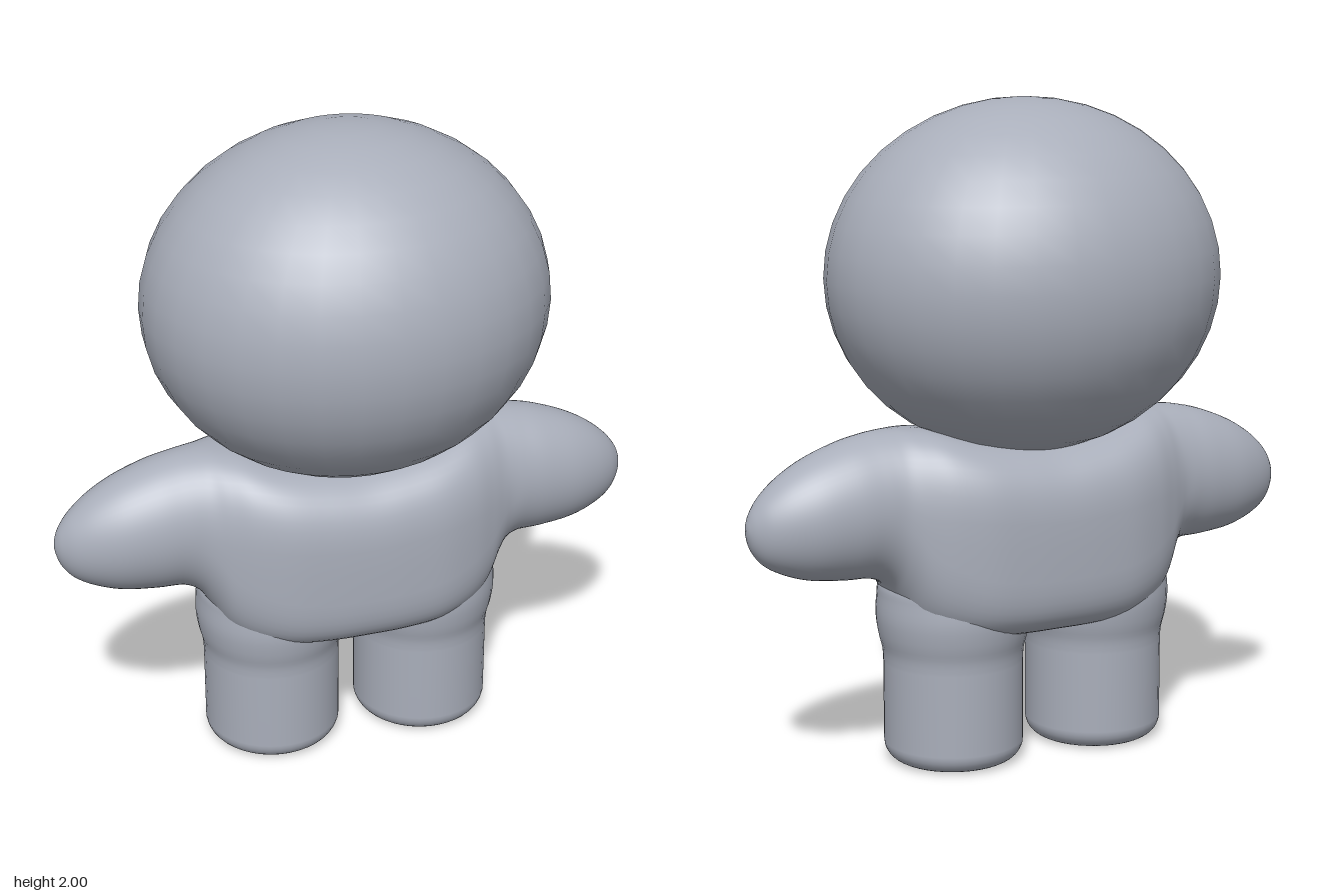
import * as THREE from 'three';

const clay = new THREE.MeshStandardMaterial({ color: 0xa9aeba });
clay.name = 'greyClay';

function part(name, geometry) {
  const mesh = new THREE.Mesh(geometry, clay);
  mesh.name = name;
  return mesh;
}

// Half of the body from the middle to the hand: x, top, bottom, half depth, squareness
const half = [
  [0, 0.975, 0.40, 0.295, 3.2],
  [0.12, 0.985, 0.40, 0.292, 3.2],
  [0.24, 1.005, 0.405, 0.28, 3.1],
  [0.34, 1.03, 0.42, 0.25, 2.8],
  [0.41, 1.037, 0.455, 0.215, 2.5],
  [0.455, 1.038, 0.525, 0.19, 2.2],
  [0.49, 1.036, 0.575, 0.176, 2.1],
  [0.54, 1.03, 0.597, 0.169, 2],
  [0.62, 1.012, 0.601, 0.162, 2],
  [0.72, 0.975, 0.612, 0.145, 2],
  [0.8, 0.931, 0.636, 0.116, 2],
  [0.86, 0.882, 0.669, 0.081, 2],
  [0.895, 0.838, 0.71, 0.046, 2],
  [0.91, 0.803, 0.75, 0.02, 2],
  [0.914, 0.781, 0.779, 0.001, 2],
];

// Torso and arms: one skin of rounded sections swept from hand to hand
function bodyGeometry(steps = 140, around = 56) {
  const knots = [...half.slice(1).reverse().map(([x, ...r]) => [-x, ...r]), ...half];
  const curve = (f) => new THREE.CatmullRomCurve3(knots.map(f), false, 'catmullrom', 0.5);
  const heights = curve(([x, top, bottom]) => new THREE.Vector3(x, top, bottom));
  const depths = curve(([x, , , depth, n]) => new THREE.Vector3(x, depth, n));
  const power = (v, n) => Math.sign(v) * Math.abs(v) ** (2 / n);
  const positions = [], index = [];
  for (let i = 0; i <= steps; i++) {
    const { x, y: top, z: bottom } = heights.getPoint(i / steps);
    const { y: depth, z: n } = depths.getPoint(i / steps);
    for (let j = 0; j < around; j++) {
      const a = (j / around) * Math.PI * 2;
      const s = Math.sin(a);
      const k = s < 0 ? n + (n - 2) * 0.8 : n; // squarer underside
      positions.push(x, (top + bottom) / 2 + ((top - bottom) / 2) * power(s, k),
        depth * power(Math.cos(a), k));
      if (i < steps) {
        const p = i * around + j, q = i * around + ((j + 1) % around);
        index.push(p, p + around, q, q, p + around, q + around);
      }
    }
  }
  const geometry = new THREE.BufferGeometry();
  geometry.setAttribute('position', new THREE.Float32BufferAttribute(positions, 3));
  geometry.setIndex(index);
  geometry.computeVertexNormals();
  return geometry;
}

// Leg: round column with a soft foot edge, swelling into the hip
function legGeometry() {
  const points = [new THREE.Vector2(0, 0), new THREE.Vector2(0.15, 0)];
  for (let i = 1; i <= 8; i++) {
    const a = (i / 8) * Math.PI / 2;
    points.push(new THREE.Vector2(0.153 + 0.06 * Math.sin(a), 0.06 - 0.06 * Math.cos(a)));
  }
  const hip = new THREE.SplineCurve([[0.213, 0.31], [0.216, 0.35], [0.228, 0.4], [0.235, 0.46],
    [0.231, 0.52], [0.225, 0.56], [0.19, 0.64]].map(([r, y]) => new THREE.Vector2(r, y)));
  points.push(...hip.getPoints(20), new THREE.Vector2(0, 0.66));
  return new THREE.LatheGeometry(points, 40);
}

export function createModel() {
  const model = new THREE.Group();
  model.name = 'figure';

  // Big, slightly wide head
  const head = part('head', new THREE.SphereGeometry(1, 32, 20));
  head.scale.set(0.615, 0.533, 0.535);
  head.position.y = 1.467;
  model.add(head, part('torsoAndArms', bodyGeometry()));

  // Legs
  for (const [name, side] of [['leftLeg', 1], ['rightLeg', -1]]) {
    const leg = part(name, legGeometry());
    leg.position.x = side * 0.248;
    model.add(leg);
  }
  return model;
}
